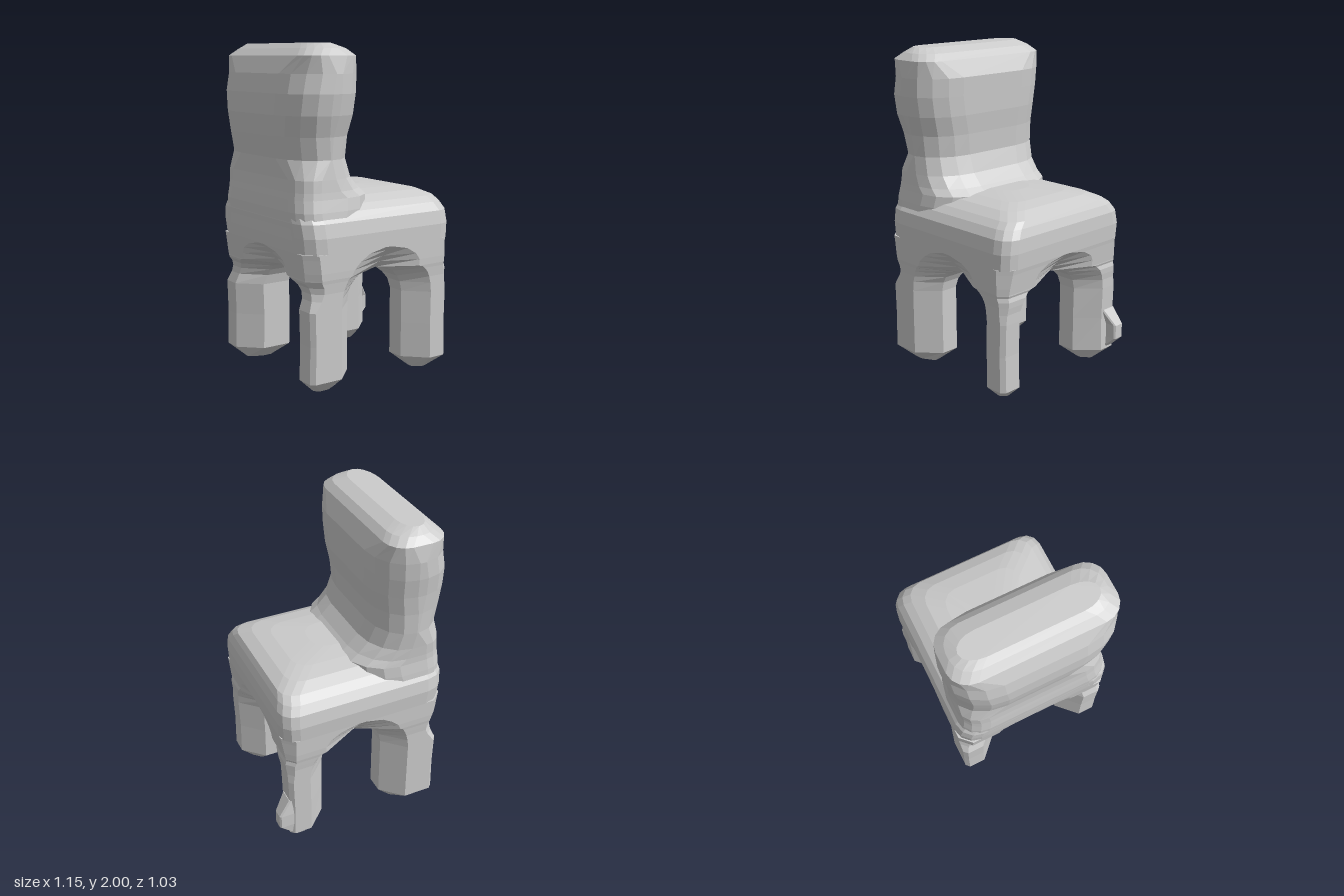
import * as THREE from 'three';

const CORNERS = [[1, 1], [-1, 1], [-1, -1], [1, -1]];

// Closed surface through horizontal rectangles with rounded or cut corners.
// Each row: y, x min, x max, z min, z max.
// cut(sx, sz, y) gives the x and z size of a corner; steps = 1 makes it a flat chamfer.
function loft(name, rows, cut, steps) {
  const pos = [], idx = [], n = CORNERS.length * (steps + 1);
  for (const [y, x0, x1, z0, z1] of rows) {
    CORNERS.forEach(([sx, sz], c) => {
      const [cutX, cutZ] = cut(sx, sz, y);
      const rx = Math.min(cutX, 0.49 * (x1 - x0)), rz = Math.min(cutZ, 0.49 * (z1 - z0));
      const cx = sx > 0 ? x1 - rx : x0 + rx, cz = sz > 0 ? z1 - rz : z0 + rz;
      for (let k = 0; k <= steps; k++) {
        const a = (c + k / steps) * Math.PI / 2;
        pos.push(cx + rx * Math.cos(a), y, cz + rz * Math.sin(a));
      }
    });
  }
  const last = (rows.length - 1) * n;
  for (let j = 0; j < rows.length - 1; j++) {
    for (let i = 0; i < n; i++) {
      const a = j * n + i, b = j * n + (i + 1) % n;
      idx.push(a, a + n, b, b, a + n, b + n);
    }
  }
  // End caps
  for (let i = 1; i < n - 1; i++) {
    idx.push(0, i, i + 1, last, last + i + 1, last + i);
  }
  const geometry = new THREE.BufferGeometry();
  geometry.setAttribute('position', new THREE.Float32BufferAttribute(pos, 3));
  geometry.setIndex(idx);
  geometry.computeVertexNormals();
  const mesh = new THREE.Mesh(geometry,
    new THREE.MeshStandardMaterial({ color: 0xcccccc, flatShading: true }));
  mesh.name = name;
  return mesh;
}

// Quarter-ellipse arch: 1 below the springing height 0.5, 0 at the crown
const arch = (y, height) => Math.sqrt(Math.max(0, 1 - (Math.max(0, y - 0.5) / height) ** 2));

// Leg that flares inward at the top, so that four of them form crossing arches
function leg(name, sx, sz) {
  const back = sx < 0, mid = 0.03;
  const spanX = back ? 0.2 : 0.21, spanZ = 0.245;
  // y, outer x, outer z
  const profile = [
    [0.08, 0.505, 0.505], [0.3, 0.5, 0.505], [0.5, 0.505, 0.505],
    [0.56, back ? 0.48 : 0.505, 0.505], [0.6, back ? 0.475 : 0.51, 0.505],
    [0.635, back ? 0.485 : 0.512, 0.508], [0.66, 0.505, 0.51], [0.673, 0.51, 0.512],
    [0.68, 0.51, 0.513], [0.72, 0.515, 0.515], [0.76, 0.52, 0.515],
    [0.8, 0.525, 0.515], [0.83, 0.53, 0.515],
  ];
  const rows = profile.map(([y, ox, oz]) => {
    const f = arch(y, 0.18);
    const xs = [mid + sx * spanX * f, sx * ox].sort((a, b) => a - b);
    const zs = [sz * spanZ * f, sz * oz].sort((a, b) => a - b);
    return [y, ...xs, ...zs];
  });
  // Chamfered foot
  const [, x0, x1, z0, z1] = rows[0];
  rows.unshift([0, x0 + 0.085, x1 - 0.085, z0 + 0.085, z1 - 0.085]);

  // Slim along the diagonal; the side cuts widen into the bevel around each arch
  return loft(name, rows, (cx, cz, y) => {
    const rise = THREE.MathUtils.clamp((y - 0.5) / (back ? 0.16 : 0.33), 0, 1);
    if (cx === sx && cz === sz) return Array(2).fill(0.025 + 0.045 * rise);
    if (cx !== sx && cz !== sz) return [0.02, 0.02];
    const bevel = (span) => (span + 0.13) * arch(y, 0.33) - span * arch(y, 0.18);
    const inward = 0.13 * Math.min(1, (0.83 - y) / 0.15);
    return cx !== sx ? [bevel(spanX), inward] : [inward, bevel(spanZ)];
  }, 1);
}

export function createModel() {
  const group = new THREE.Group();

  // Cushion-like seat with a domed top
  group.add(loft('seat', [
    [0.825, -0.53, 0.53, -0.515, 0.515],
    [0.92, -0.54, 0.535, -0.52, 0.515],
    [1.0, -0.545, 0.53, -0.505, 0.5],
    [1.05, -0.54, 0.51, -0.47, 0.465],
    [1.085, -0.53, 0.49, -0.42, 0.42],
    [1.12, -0.45, 0.42, -0.35, 0.35],
    [1.14, -0.4, 0.33, -0.25, 0.25],
    [1.152, -0.35, 0.15, -0.13, 0.13],
  ], (sx) => (sx > 0 ? [0.1, 0.1] : [0.13, 0.13]), 3));

  // Thick rounded backrest, curving into the seat at its foot
  group.add(loft('backrest', [
    [0.9, -0.54, -0.05, -0.5, 0.5],
    [1.06, -0.547, 0.02, -0.485, 0.48],
    [1.13, -0.54, 0.03, -0.475, 0.465],
    [1.17, -0.535, -0.02, -0.475, 0.46],
    [1.24, -0.53, -0.085, -0.48, 0.455],
    [1.35, -0.535, -0.122, -0.49, 0.445],
    [1.48, -0.56, -0.115, -0.49, 0.46],
    [1.6, -0.575, -0.1, -0.495, 0.495],
    [1.72, -0.572, -0.095, -0.51, 0.515],
    [1.83, -0.55, -0.09, -0.515, 0.515],
    [1.93, -0.505, -0.14, -0.5, 0.5],
    [1.97, -0.46, -0.18, -0.46, 0.46],
    [2.0, -0.42, -0.26, -0.41, 0.41],
  ], (sx, sz, y) => {
    if (y > 1.9) return [0.12, 0.13];
    if (y < 1.3) return sx > 0 ? [0.26, 0.28] : [0.13, 0.15];
    return [0.21, 0.27];
  }, 4));

  // Four legs
  for (const [sx, sz] of CORNERS) {
    group.add(leg(`${sx > 0 ? 'front' : 'back'}Leg${sz > 0 ? 'Left' : 'Right'}`, sx, sz));
  }

  // Small spur on one foot
  group.add(loft('footSpur', [
    [0.06, 0.4, 0.47, -0.49, -0.41],
    [0.16, 0.42, 0.575, -0.5, -0.42],
    [0.25, 0.42, 0.575, -0.5, -0.42],
    [0.35, 0.42, 0.505, -0.49, -0.38],
  ], () => [0.01, 0.01], 1));

  return group;
}
